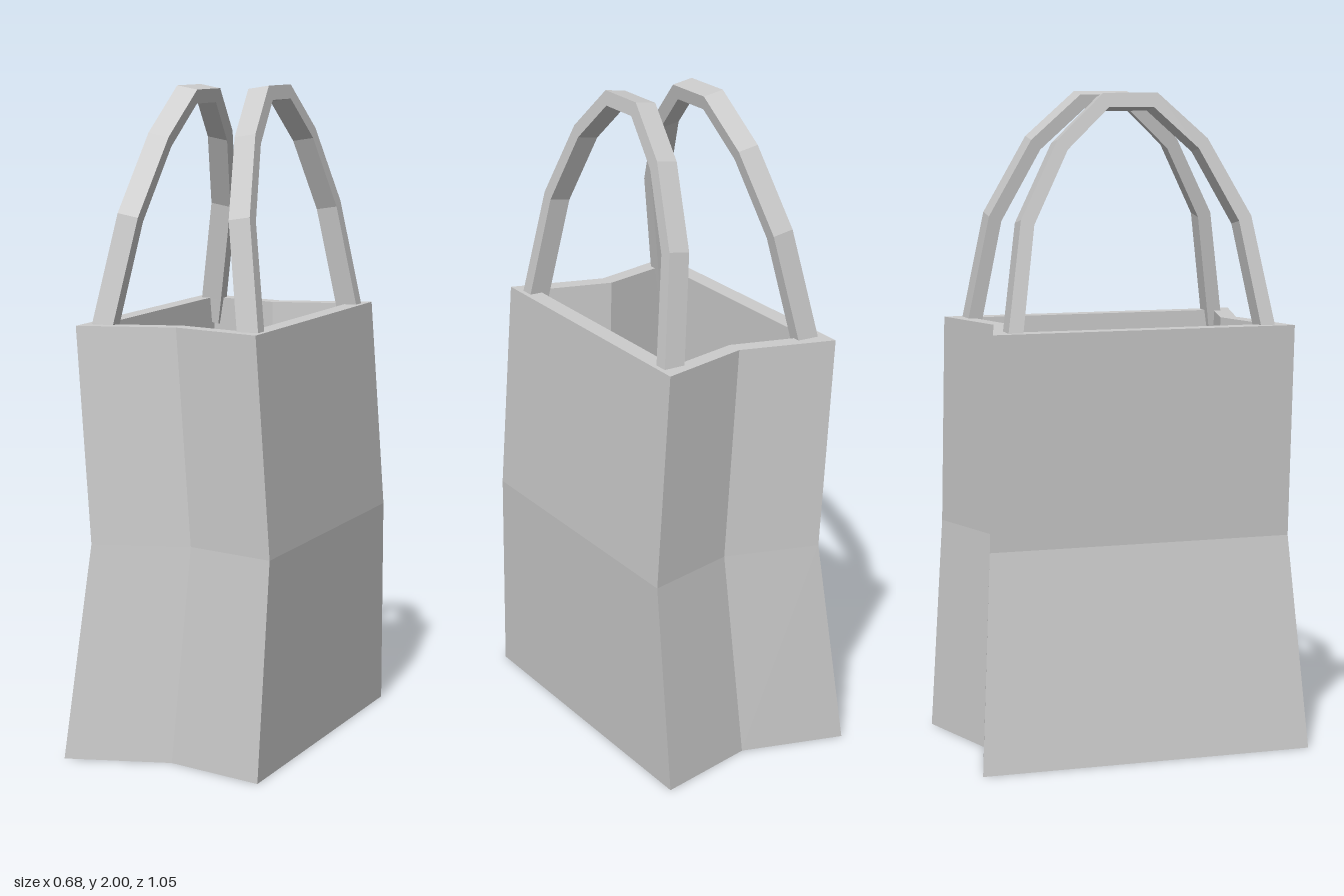
import * as THREE from 'three';

const material = new THREE.MeshStandardMaterial({ color: 0xcccccc, flatShading: true });

// Six-point ring: a rectangle whose front and back edges fold inwards at the middle.
function ring(y, cx, halfX, halfZ, foldZ) {
  return [
    [cx - halfX, y, halfZ], [cx, y, foldZ], [cx + halfX, y, halfZ],
    [cx + halfX, y, -halfZ], [cx, y, -foldZ], [cx - halfX, y, -halfZ],
  ];
}

// Outside wall, rim, inside wall, base and floor as one closed skin.
function bagGeometry() {
  const rings = [
    ring(0, -0.01, 0.315, 0.517, 0.43),
    ring(0.655, 0.036, 0.287, 0.472, 0.39),
    ring(1.305, -0.01, 0.287, 0.47, 0.39),
    ring(1.305, -0.01, 0.232, 0.40, 0.338),
    ring(0.05, 0.008, 0.232, 0.40, 0.338),
  ];
  const pos = [];
  const quad = (a, b, c, d) => pos.push(...a, ...b, ...c, ...a, ...c, ...d);
  for (let r = 0; r < rings.length - 1; r++) {
    for (let i = 0; i < 6; i++) {
      const j = (i + 1) % 6;
      quad(rings[r][i], rings[r][j], rings[r + 1][j], rings[r + 1][i]);
    }
  }
  const base = rings[0], floor = rings[rings.length - 1];
  quad(base[5], base[4], base[1], base[0]);
  quad(base[4], base[3], base[2], base[1]);
  quad(floor[0], floor[1], floor[4], floor[5]);
  quad(floor[1], floor[2], floor[3], floor[4]);
  const geo = new THREE.BufferGeometry();
  geo.setAttribute('position', new THREE.Float32BufferAttribute(pos, 3));
  geo.computeVertexNormals();
  return geo;
}

// Faceted arch strap, standing across the z axis.
function handleGeometry(width) {
  const outer = [[0.427, -0.08], [0.415, 0], [0.36, 0.325], [0.235, 0.56], [0.085, 0.698]];
  const inner = [[0.382, -0.08], [0.37, 0], [0.32, 0.31], [0.205, 0.53], [0.07, 0.655]];
  const mirror = (pts) => pts.map(([u, v]) => [-u, v]).reverse();
  const outline = [...outer, ...mirror(outer), ...inner.map(([u, v]) => [-u, v]), ...mirror(inner).map(([u, v]) => [-u, v])];
  const shape = new THREE.Shape(outline.map(([u, v]) => new THREE.Vector2(u, v)));
  const geo = new THREE.ExtrudeGeometry(shape, { depth: width, bevelEnabled: false });
  return geo.rotateY(-Math.PI / 2).translate(width / 2, 0, 0);
}

export function createModel() {
  const model = new THREE.Group();
  model.name = 'bag';

  const body = new THREE.Mesh(bagGeometry(), material);
  body.name = 'bagBody';
  model.add(body);

  // Handles lean towards each other over the opening.
  const strap = handleGeometry(0.067);
  for (const [name, x, lean] of [['leftHandle', 0.228, 0.154], ['rightHandle', -0.237, -0.18]]) {
    const handle = new THREE.Mesh(strap, material);
    handle.name = name;
    handle.position.set(x, 1.305, 0);
    handle.rotation.z = lean;
    model.add(handle);
  }

  // The whole bag stands slightly turned.
  model.rotation.y = -0.031;
  return model;
}
